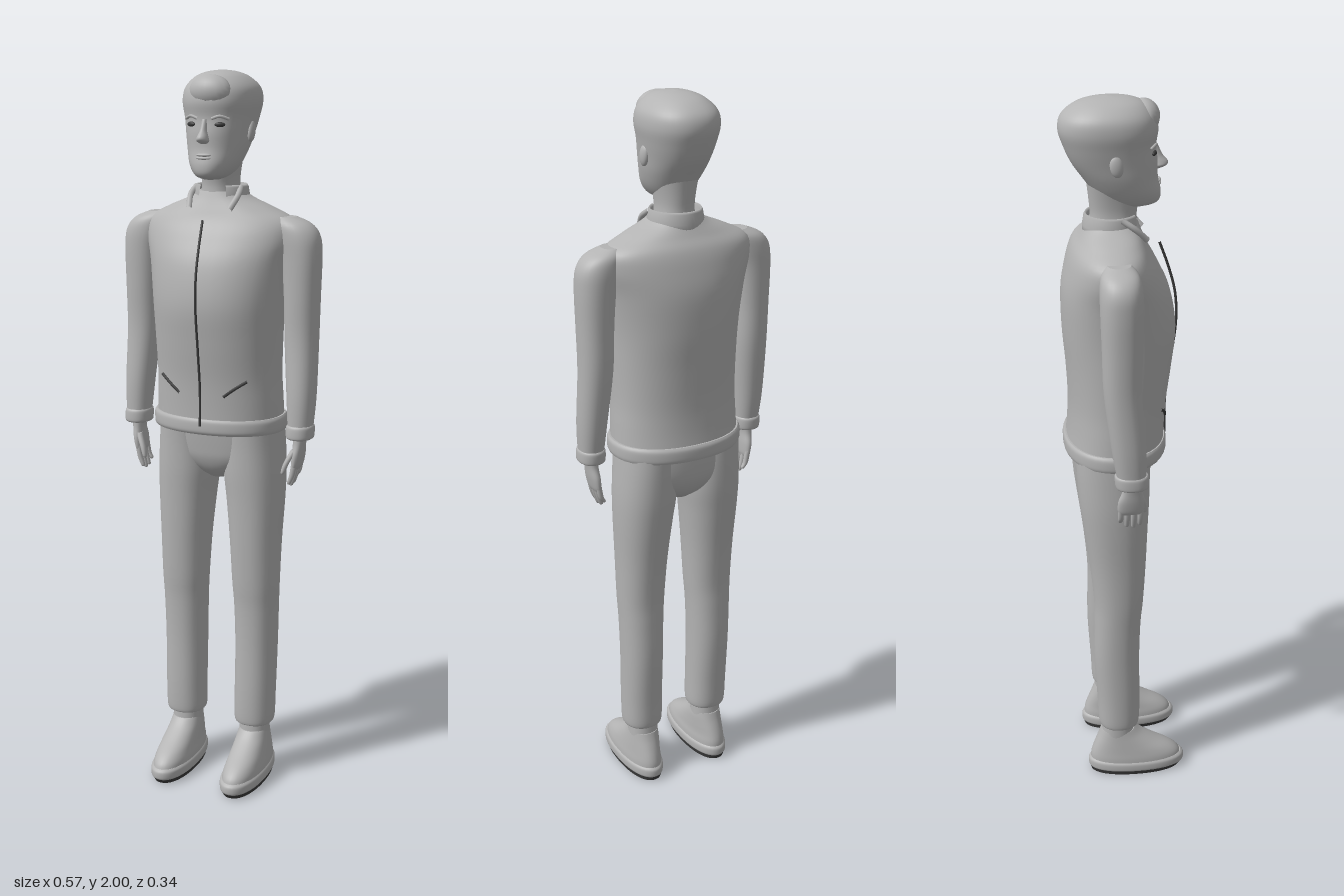
import * as THREE from 'three';

const grey = new THREE.MeshStandardMaterial({ color: 0xb4b4b4 });
grey.name = 'body grey';
const dark = new THREE.MeshStandardMaterial({ color: 0x3c3c3c });
dark.name = 'dark trim';

const spline = (a, b, c, d, t) =>
  b + 0.5 * t * (c - a + t * (2 * a - 5 * b + 4 * c - d + t * (3 * (b - c) + d - a)));

// Smooth closed skin through horizontal rings [y, centreX, halfWidth, backZ, frontZ], listed upwards.
function loft(rings, { n = 2.2, seg = 40, sub = 5 } = {}) {
  const rows = [];
  const at = (i) => rings[Math.min(Math.max(i, 0), rings.length - 1)];
  for (let i = 0; i < rings.length - 1; i++)
    for (let k = 0; k < sub; k++)
      rows.push(at(i).map((v, c) => spline(at(i - 1)[c], v, at(i + 1)[c], at(i + 2)[c], k / sub)));
  rows.push(at(rings.length));
  const pos = [], idx = [];
  const addRing = ([y, cx, rx, z0, z1]) => {
    for (let j = 0; j < seg; j++) {
      const a = (j / seg) * Math.PI * 2, c = Math.cos(a), s = Math.sin(a);
      pos.push(cx + rx * Math.sign(c) * Math.abs(c) ** (2 / n), y,
        (z0 + z1) / 2 + ((z1 - z0) / 2) * Math.sign(s) * Math.abs(s) ** (2 / n));
    }
  };
  rows.forEach(addRing);
  for (let i = 0; i < rows.length - 1; i++)
    for (let j = 0; j < seg; j++) {
      const a = i * seg + j, b = i * seg + ((j + 1) % seg);
      idx.push(a, a + seg, b, b, a + seg, b + seg);
    }
  // flat end caps with their own vertices
  [rows[0], rows[rows.length - 1]].forEach((r, top) => {
    const base = pos.length / 3;
    addRing(r);
    pos.push(r[1], r[0], (r[3] + r[4]) / 2);
    for (let j = 0; j < seg; j++) {
      const a = base + j, b = base + ((j + 1) % seg);
      if (top) idx.push(a, base + seg, b);
      else idx.push(a, b, base + seg);
    }
  });
  const g = new THREE.BufferGeometry();
  g.setAttribute('position', new THREE.Float32BufferAttribute(pos, 3));
  g.setIndex(idx);
  g.computeVertexNormals();
  return g;
}

const tube = (pts, r, seg = 24) => new THREE.TubeGeometry(
  new THREE.CatmullRomCurve3(pts.map((p) => new THREE.Vector3(...p))), seg, r, 8);

const blob = (rx, ry, rz) => new THREE.SphereGeometry(1, 24, 16).scale(rx, ry, rz);

export function createModel() {
  const model = new THREE.Group();
  model.name = 'standingMan';
  const add = (name, geo, mat = grey, x = 0, y = 0, z = 0) => {
    const m = new THREE.Mesh(geo, mat);
    m.name = name;
    m.position.set(x, y, z);
    model.add(m);
    return m;
  };

  // Jacket body, hem and open collar
  add('jacketBody', loft([
    [1.07, 0, 0.18, -0.158, 0.108], [1.13, 0, 0.178, -0.152, 0.11], [1.2, 0, 0.175, -0.15, 0.115],
    [1.3, 0, 0.177, -0.155, 0.128], [1.4, 0, 0.182, -0.163, 0.137], [1.5, 0, 0.195, -0.163, 0.121],
    [1.57, 0, 0.212, -0.15, 0.09], [1.615, 0, 0.205, -0.135, 0.065], [1.645, 0, 0.15, -0.115, 0.052],
    [1.67, 0, 0.09, -0.1, 0.042], [1.69, 0, 0.058, -0.09, 0.035]]));
  add('jacketHem', loft([[1.045, 0, 0.186, -0.162, 0.11], [1.055, 0, 0.189, -0.165, 0.115],
    [1.078, 0, 0.189, -0.165, 0.115], [1.088, 0, 0.184, -0.16, 0.111]]));
  const band = [[0.9, 1.65], [1.05, 1.655], [1.06, 1.675], [1, 1.7], [0.95, 1.706], [0.88, 1.7], [0.86, 1.66]]
    .map((p) => new THREE.Vector2(...p));
  add('collar', new THREE.LatheGeometry(band, 40, 0.55, Math.PI * 2 - 1.1).scale(0.071, 1, 0.07),
    grey, 0, 0, -0.031);

  // Front zip
  add('zip', tube([[0, 1.62, 0.095], [0, 1.55, 0.12], [0, 1.48, 0.138], [0, 1.4, 0.142],
    [0, 1.28, 0.128], [0, 1.17, 0.115], [0, 1.07, 0.115]], 0.0035, 40), dark);

  // Trouser seat
  add('trouserSeat', loft([[0.9, 0, 0.03, -0.08, 0.01], [0.925, 0, 0.085, -0.11, 0.038],
    [0.96, 0, 0.15, -0.13, 0.055], [1.0, 0, 0.176, -0.138, 0.062], [1.07, 0, 0.176, -0.14, 0.07]]));

  // Head and neck
  add('neck', loft([[1.65, 0, 0.056, -0.09, 0.04], [1.7, 0, 0.048, -0.085, 0.035],
    [1.74, 0, 0.05, -0.088, 0.04], [1.8, 0, 0.06, -0.095, 0.04]]));
  add('head', loft([
    [1.722, 0, 0.022, -0.02, 0.06], [1.733, 0, 0.043, -0.05, 0.09], [1.76, 0, 0.062, -0.075, 0.096],
    [1.8, 0, 0.076, -0.105, 0.088], [1.84, 0, 0.084, -0.133, 0.087], [1.88, 0, 0.092, -0.151, 0.083],
    [1.92, 0, 0.099, -0.163, 0.088], [1.955, 0, 0.093, -0.155, 0.079], [1.982, 0, 0.067, -0.122, 0.055],
    [1.995, 0, 0.038, -0.083, 0.02], [2, 0, 0.006, -0.04, -0.028]]));
  add('nose', loft([[1.815, 0, 0.008, 0.07, 0.094], [1.823, 0, 0.016, 0.07, 0.111],
    [1.833, 0, 0.014, 0.07, 0.114], [1.85, 0, 0.009, 0.07, 0.1], [1.878, 0, 0.007, 0.07, 0.087]],
  { seg: 20, n: 2 }));
  for (const [i, y] of [1.779, 1.787].entries())
    add(i ? 'upperLip' : 'lowerLip', blob(0.021, 0.0045, 0.009), grey, 0, y, 0.088);

  // Swept fringe with shallow locks
  const fringe = blob(0.058, 0.043, 0.04);
  const fp = fringe.attributes.position;
  for (let i = 0; i < fp.count; i++) {
    const a = Math.atan2(fp.getX(i) / 0.058, fp.getZ(i) / 0.04);
    const k = 1 + 0.015 * Math.cos(a * 14);
    fp.setX(i, fp.getX(i) * k);
    fp.setZ(i, fp.getZ(i) * k);
  }
  fringe.computeVertexNormals();
  add('fringe', fringe, grey, 0.005, 1.946, 0.053);

  for (const s of [1, -1]) {
    const side = s > 0 ? 'left' : 'right';

    // Face details
    add(side + 'Ear', blob(0.01, 0.028, 0.017), grey, s * 0.086, 1.845, -0.025).rotation.x = -0.15;
    add(side + 'Eye', blob(0.014, 0.0065, 0.006), dark, s * 0.04, 1.864, 0.074).rotation.y = s * 0.35;
    add(side + 'Brow', tube([[s * 0.02, 1.879, 0.081], [s * 0.04, 1.885, 0.077],
      [s * 0.06, 1.878, 0.062]], 0.004));

    // Collar point and slanted pocket
    add(side + 'CollarPoint', tube([[s * 0.064, 1.7, -0.01], [s * 0.068, 1.68, 0.02],
      [s * 0.058, 1.645, 0.056]], 0.008));
    add(side + 'Pocket', tube([[s * 0.065, 1.155, 0.106], [s * 0.095, 1.178, 0.1],
      [s * 0.125, 1.198, 0.086]], 0.004), dark);

    // Sleeve and cuff
    add(side + 'Sleeve', loft([
      [1.06, s * 0.244, 0.033, -0.043, 0.034], [1.15, s * 0.243, 0.039, -0.058, 0.033],
      [1.3, s * 0.236, 0.045, -0.076, 0.022], [1.42, s * 0.235, 0.048, -0.08, 0.024],
      [1.52, s * 0.232, 0.053, -0.083, 0.026], [1.575, s * 0.222, 0.058, -0.083, 0.025],
      [1.608, s * 0.206, 0.05, -0.077, 0.018], [1.627, s * 0.183, 0.03, -0.06, 0.0]], { seg: 28 }));
    add(side + 'Cuff', loft([[1.036, s * 0.244, 0.033, -0.044, 0.037], [1.042, s * 0.244, 0.037, -0.048, 0.041],
      [1.066, s * 0.244, 0.037, -0.05, 0.04], [1.073, s * 0.244, 0.034, -0.047, 0.036]], { seg: 28 }));

    // Hand: palm, four fingers and thumb
    add(side + 'Palm', loft([[0.95, s * 0.236, 0.008, -0.036, 0.024], [0.962, s * 0.237, 0.012, -0.041, 0.029],
      [0.99, s * 0.24, 0.015, -0.04, 0.03], [1.02, s * 0.243, 0.016, -0.03, 0.024],
      [1.05, s * 0.244, 0.02, -0.028, 0.022]], { seg: 20 }));
    for (let f = 0; f < 4; f++) {
      const z = 0.02 - f * 0.0175, tip = [0.907, 0.9, 0.903, 0.916][f];
      add(side + 'Finger', loft([[tip, s * 0.222, 0.003, z - 0.003, z + 0.003],
        [tip + 0.005, s * 0.223, 0.006, z - 0.006, z + 0.006],
        [0.935, s * 0.231, 0.0075, z - 0.0075, z + 0.0075],
        [0.968, s * 0.237, 0.008, z - 0.008, z + 0.008]], { seg: 12, sub: 3 }));
    }
    add(side + 'Thumb', loft([[0.938, s * 0.209, 0.003, 0.03, 0.037], [0.944, s * 0.21, 0.006, 0.026, 0.041],
      [0.97, s * 0.218, 0.008, 0.02, 0.038], [1.005, s * 0.235, 0.009, 0.008, 0.026]], { seg: 12, sub: 3 }));

    // Trouser leg
    add(side + 'TrouserLeg', loft([
      [0.167, s * 0.108, 0.05, -0.076, 0.028], [0.18, s * 0.108, 0.057, -0.084, 0.034],
      [0.26, s * 0.109, 0.058, -0.088, 0.036], [0.4, s * 0.11, 0.059, -0.096, 0.034],
      [0.52, s * 0.11, 0.062, -0.095, 0.037], [0.6, s * 0.109, 0.066, -0.095, 0.044],
      [0.72, s * 0.107, 0.071, -0.106, 0.051], [0.84, s * 0.104, 0.079, -0.122, 0.056],
      [0.92, s * 0.1, 0.084, -0.132, 0.06], [1.0, s * 0.098, 0.082, -0.137, 0.062],
      [1.06, s * 0.096, 0.08, -0.138, 0.065]], { seg: 32 }));

    // Ankle, shoe and sole
    add(side + 'Ankle', loft([[0.12, s * 0.107, 0.043, -0.077, 0.02], [0.2, s * 0.107, 0.041, -0.072, 0.016]]));
    add(side + 'Shoe', loft([
      [0.035, s * 0.109, 0.054, -0.11, 0.162], [0.055, s * 0.109, 0.053, -0.109, 0.154],
      [0.075, s * 0.109, 0.05, -0.104, 0.13], [0.1, s * 0.108, 0.047, -0.095, 0.084],
      [0.125, s * 0.107, 0.044, -0.085, 0.044], [0.145, s * 0.107, 0.041, -0.078, 0.022]]));
    add(side + 'SoleRim', loft([[0.012, s * 0.109, 0.054, -0.112, 0.164], [0.018, s * 0.109, 0.058, -0.116, 0.17],
      [0.036, s * 0.109, 0.058, -0.116, 0.17], [0.044, s * 0.109, 0.053, -0.11, 0.162]]));
    add(side + 'SoleTread', loft([[0, s * 0.109, 0.052, -0.109, 0.157],
      [0.013, s * 0.109, 0.055, -0.113, 0.166]]), dark);
  }
  return model;
}
